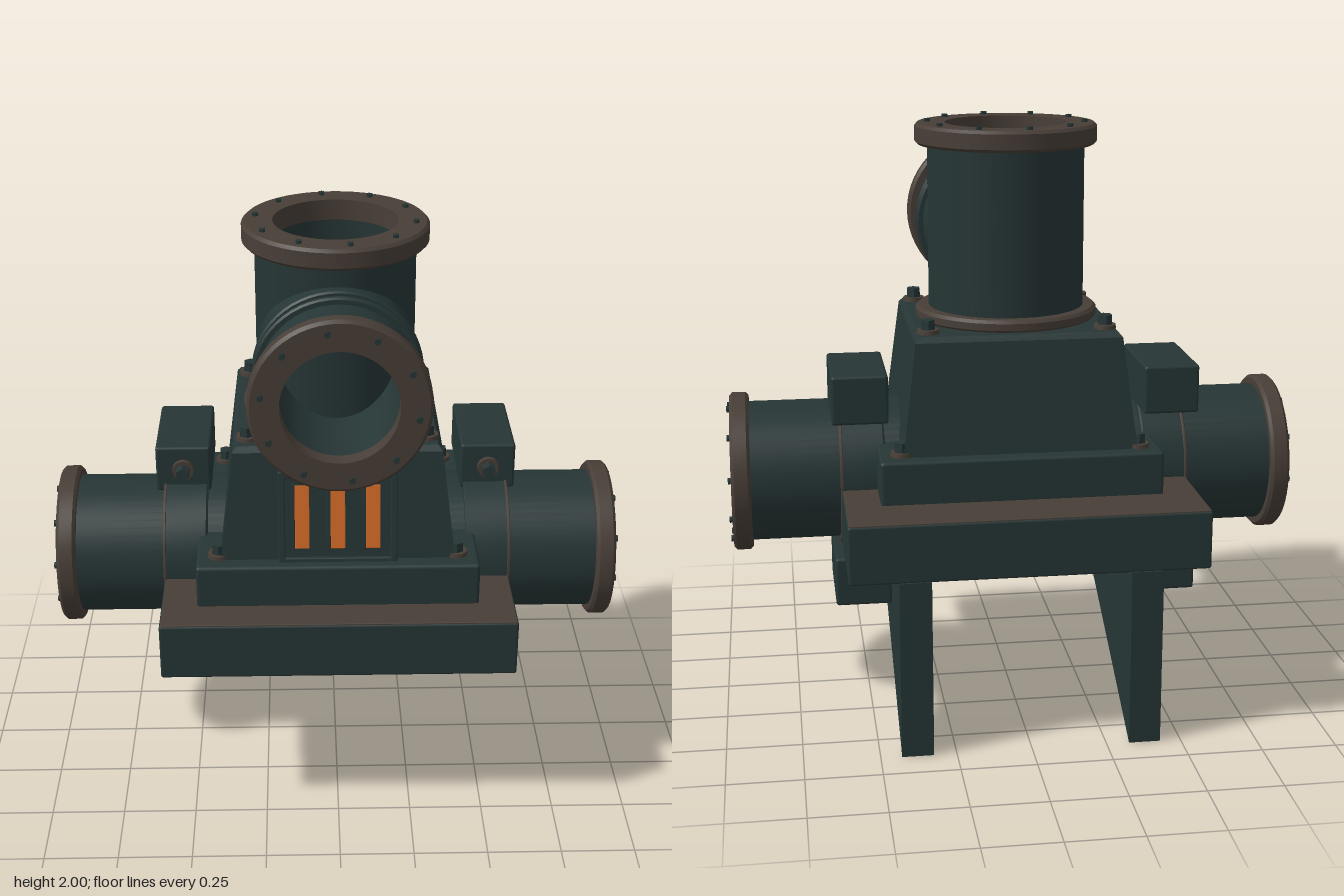
import * as THREE from 'three';
import { toCreasedNormals } from 'three/addons/utils/BufferGeometryUtils.js';
import { RoundedBoxGeometry } from 'three/addons/geometries/RoundedBoxGeometry.js';

const material = (name, color) => {
  const m = new THREE.MeshStandardMaterial({ color });
  m.name = name;
  return m;
};

export function createModel() {
  const model = new THREE.Group();
  model.name = 'pipeJunction';
  const teal = material('darkTealPaint', 0x263535);
  const brown = material('brownMetal', 0x483e37);
  const orange = material('orangeGlow', 0xd66c28);
  const tealOpen = material('darkTealPaintOpen', 0x263535);
  tealOpen.side = THREE.DoubleSide;

  const add = (name, geo, mat, parent = model, x = 0, y = 0, z = 0) => {
    const mesh = new THREE.Mesh(geo, mat);
    mesh.name = name;
    mesh.position.set(x, y, z);
    parent.add(mesh);
    return mesh;
  };
  // Box given by its limits on each axis
  const box = (name, mat, [x0, x1], [y0, y1], [z0, z1], parent = model, r = 0.008) =>
    add(name, new RoundedBoxGeometry(x1 - x0, y1 - y0, z1 - z0, 2, r), mat, parent,
      (x0 + x1) / 2, (y0 + y1) / 2, (z0 + z1) / 2);
  // Ring or tube along y with small chamfers
  const ring = (inner, outer, y0, y1, c = 0.006) => {
    const pts = [[inner, y0], [outer - c, y0], [outer, y0 + c], [outer, y1 - c],
      [outer - c, y1], [inner, y1], [inner, y0]].map(p => new THREE.Vector2(...p));
    return toCreasedNormals(new THREE.LatheGeometry(pts, 56), 0.5);
  };
  // Bolted flange along y
  const flange = (parent, inner, outer, y0, y1) => {
    add('flange', ring(inner, outer, y0, y1, 0.01), brown, parent);
    const mid = outer * 0.86;
    for (let i = 0; i < 10; i++) {
      const a = (i + 0.25) * Math.PI / 5;
      add('flangeBolt', new THREE.CylinderGeometry(0.011, 0.011, 0.02, 6), teal, parent,
        Math.cos(a) * mid, y1, Math.sin(a) * mid);
    }
  };
  // Hex bolt on a washer, along y
  const bolt = (x, y, z, parent = model) => {
    const g = new THREE.Group();
    g.name = 'bolt';
    g.position.set(x, y, z);
    add('washer', new THREE.CylinderGeometry(0.036, 0.038, 0.014, 20), brown, g, 0, 0.007, 0);
    add('boltHead', toCreasedNormals(new THREE.CylinderGeometry(0.024, 0.026, 0.034, 6), 0.3), teal, g, 0, 0.029, 0);
    parent.add(g);
    return g;
  };
  // Open four-sided tapered shell
  const shell = (top, bottom, h) => {
    const s = Math.SQRT2;
    const g = new THREE.CylinderGeometry(top * s, bottom * s, h, 4, 1, true, Math.PI / 4).toNonIndexed();
    g.computeVertexNormals();
    return g;
  };

  // Base plate with bare metal top
  box('basePlate', teal, [-0.59, 0.59], [0.6, 0.796], [-0.632, 0.57]);
  box('basePlateTop', brown, [-0.586, 0.586], [0.792, 0.8], [-0.628, 0.566], model, 0.003);

  // Triangular legs
  const legShape = new THREE.Shape([[-0.5, 0.602], [0.637, 0.0], [0.637, 0.602]].map(p => new THREE.Vector2(...p)));
  for (const s of [-1, 1]) {
    const geo = new THREE.ExtrudeGeometry(legShape, { depth: 0.105, bevelEnabled: false });
    add('leg', geo, teal, model, s * 0.378 + 0.0525).rotation.y = -Math.PI / 2;
    model.children.at(-1).rotation.y = Math.PI / 2;
    model.children.at(-1).position.x = s * 0.378 - 0.0525;
  }

  // Foot of the housing and its corner bolts
  box('housingFoot', teal, [-0.47, 0.47], [0.79, 0.945], [-0.44, 0.445], model, 0.012);
  for (const x of [-0.395, 0.395]) for (const z of [-0.36, 0.36]) bolt(x, 0.945, z);

  // Tapered housing with a pierced lid
  add('housing', shell(0.343, 0.39, 0.375), tealOpen, model, 0, 1.1275, 0);
  add('housingBevel', shell(0.328, 0.343, 0.018), tealOpen, model, 0, 1.324, 0);
  const lid = new THREE.Shape([[-1, -1], [1, -1], [1, 1], [-1, 1]].map(p => new THREE.Vector2(p[0] * 0.328, p[1] * 0.328)));
  lid.holes.push(new THREE.Path().absarc(0, 0, 0.23, 0, Math.PI * 2, true));
  add('housingLid', new THREE.ShapeGeometry(lid, 32), teal, model, 0, 1.333, 0).rotation.x = -Math.PI / 2;
  for (const x of [-0.295, 0.295]) for (const z of [-0.27, 0.27]) bolt(x, 1.333, z);

  // Vent on the sloping front
  const vent = new THREE.Group();
  vent.name = 'vent';
  vent.position.set(0, 1.095, 0.373);
  vent.rotation.x = -0.125;
  model.add(vent);
  box('ventPanel', teal, [-0.19, 0.19], [-0.16, 0.16], [-0.02, 0.004], vent, 0.002);
  for (const s of [-1, 1]) {
    box('ventFrameSide', teal, [s * 0.185 - 0.011, s * 0.185 + 0.011], [-0.162, 0.162], [-0.02, 0.018], vent, 0.004);
    box('ventFrameRail', teal, [-0.195, 0.195], [s * 0.151 - 0.011, s * 0.151 + 0.011], [-0.02, 0.018], vent, 0.004);
  }
  for (const x of [-0.118, 0, 0.116]) {
    box('ventSlot', orange, [x - 0.024, x + 0.024], [-0.11, 0.112], [0.002, 0.008], vent, 0.002);
    box('ventSlotEdge', teal, [x - 0.034, x - 0.024], [-0.115, 0.117], [0, 0.012], vent, 0.002);
  }

  // Upright pipe
  const upright = new THREE.Group();
  upright.name = 'uprightPipe';
  model.add(upright);
  add('pipe', ring(0.215, 0.265, 1.0, 1.95), teal, upright);
  add('pipeFoot', ring(0.25, 0.31, 1.33, 1.373, 0.01), brown, upright);
  flange(upright, 0.205, 0.307, 1.92, 1.99);

  // Front pipe, its inner end shaped to the upright pipe
  const front = new THREE.Group();
  front.name = 'frontPipe';
  front.position.y = 1.602;
  front.rotation.x = Math.PI / 2;
  model.add(front);
  const frontTube = (r) => {
    const g = new THREE.CylinderGeometry(r, r, 0.6, 56, 1, true).translate(0, 0.3, 0);
    const p = g.attributes.position;
    for (let i = 0; i < p.count; i++) {
      if (p.getY(i) < 0.1) p.setY(i, Math.sqrt(0.255 ** 2 - p.getX(i) ** 2));
    }
    return g;
  };
  add('pipe', frontTube(0.252), teal, front);
  add('pipeBore', frontTube(0.2), tealOpen, front);
  for (const y of [0.348, 0.403]) add('pipeRib', ring(0.24, 0.273, y - 0.012, y + 0.012), teal, front);
  flange(front, 0.185, 0.285, 0.575, 0.632);

  // Side pipes with collars, clamp blocks and bolts
  for (const s of [-1, 1]) {
    const side = new THREE.Group();
    side.name = s > 0 ? 'leftPipe' : 'rightPipe';
    side.position.y = 0.805;
    side.rotation.z = -s * Math.PI / 2;
    model.add(side);
    add('pipe', ring(0.2, 0.24, 0, 0.92), teal, side);
    add('pipeBackWall', new THREE.CylinderGeometry(0.21, 0.21, 0.02, 40), teal, side, 0, 0.3, 0);
    add('collar', ring(0.23, 0.262, 0.44, 0.588), teal, side);
    add('collarRim', ring(0.23, 0.266, 0.582, 0.592, 0.002), brown, side);
    flange(side, 0.185, 0.272, 0.89, 0.955);

    const xs = s > 0 ? [0.43, 0.618] : [-0.618, -0.43];
    for (const [y0, y1] of [[1.035, 1.2], [0.402, 0.57]]) {
      box('clampBlock', teal, xs, [y0, y1], [-0.295, 0.06], model, 0.01);
      bolt(s * 0.525, (y0 + y1) / 2, 0.06).rotation.x = Math.PI / 2;
    }
  }
  return model;
}
